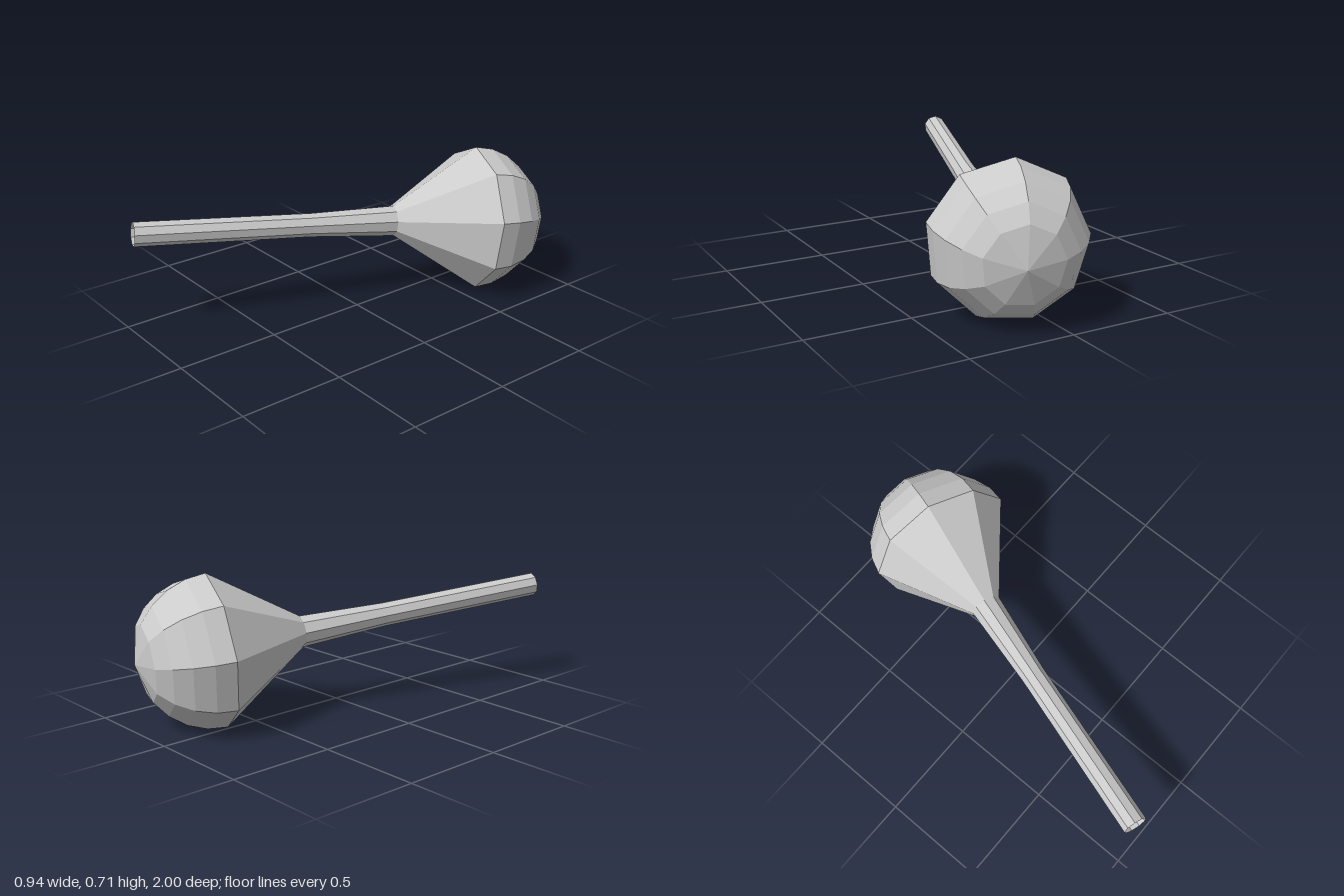
import * as THREE from 'three';

const SIDES = 9;
const RIM_RADIUS = 0.362;
const RIM_AT = 1.715; // distance from the open handle end to the widest ring
const NECK = [0.0755, 1.283];

export function createModel() {
  const material = new THREE.MeshStandardMaterial({
    color: 0xcccccc, flatShading: true, side: THREE.DoubleSide,
  });
  const group = new THREE.Group();
  group.name = 'roundHeadedTool';

  // Nine-sided turned part from [radius, distance along axis] pairs
  const turned = (name, profile) => {
    const points = profile.map(([r, t]) => new THREE.Vector2(r, t));
    const geometry = new THREE.LatheGeometry(points, SIDES, THREE.MathUtils.degToRad(75.5));
    const mesh = new THREE.Mesh(geometry, material);
    mesh.name = name;
    group.add(mesh);
  };

  // Open tube, straight at first and then widening to the neck
  turned('handle', [[0.058, 0], [0.058, 0.85], NECK]);

  // Cone flaring from the neck to the rim
  turned('flare', [NECK, [RIM_RADIUS, RIM_AT]]);

  // Faceted half-ball closing the head
  const dome = [90, 75, 60, 45, 30, 0].map((deg) => {
    const a = THREE.MathUtils.degToRad(deg);
    return [RIM_RADIUS * Math.sin(a), RIM_AT + RIM_RADIUS * Math.cos(a)];
  });
  turned('dome', dome);

  // Lean the whole axis from the raised handle end back to the head
  const axis = new THREE.Vector3(0.309, -0.0904, -0.947).normalize();
  const across = new THREE.Vector3(-axis.z, 0, axis.x).normalize();
  const up = new THREE.Vector3().crossVectors(across, axis);
  group.quaternion.setFromRotationMatrix(new THREE.Matrix4().makeBasis(across, axis, up));
  group.position.set(-0.414, 0.505, 0.975);
  return group;
}
